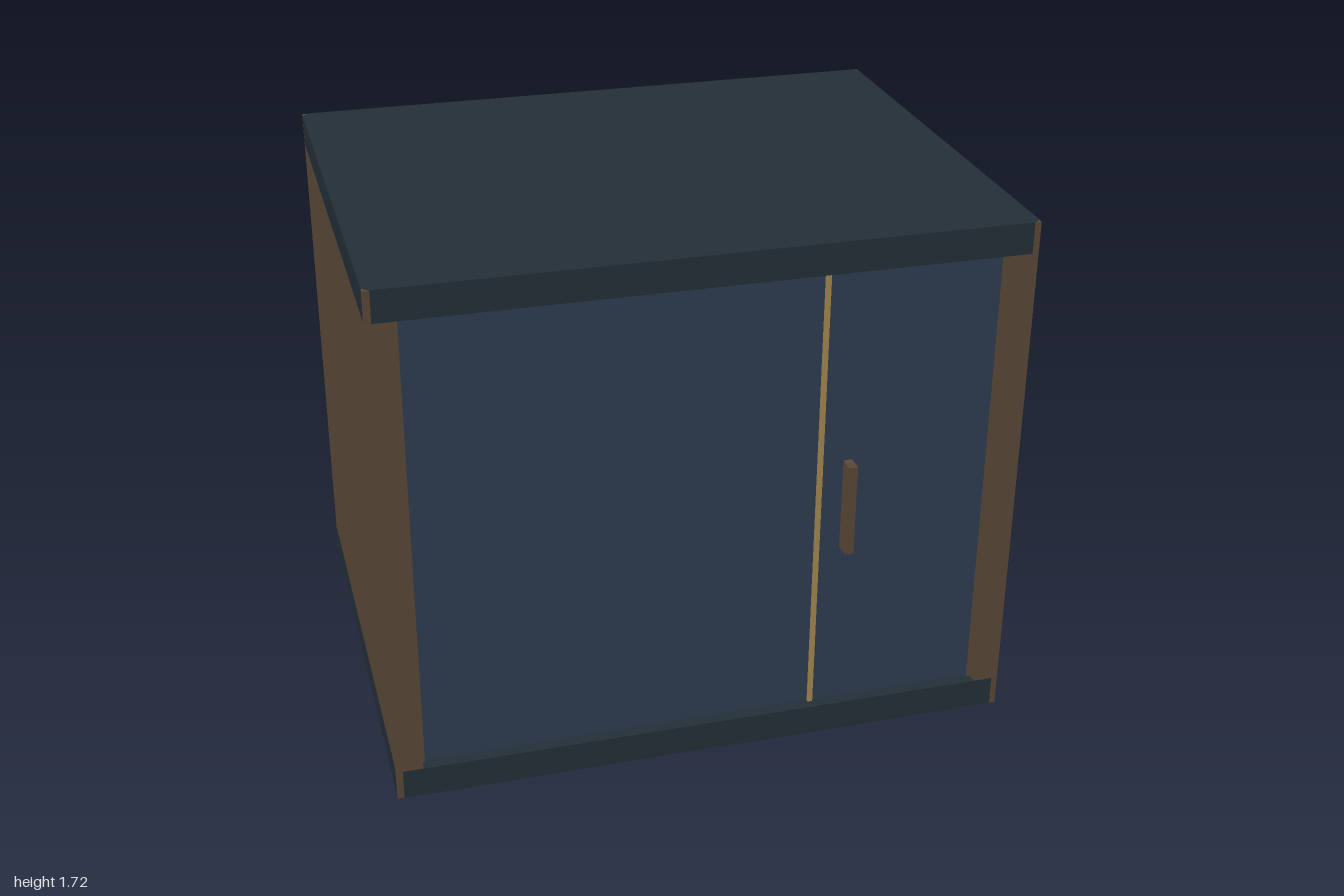
import * as THREE from 'three';

export function createModel() {
  const group = new THREE.Group();
  group.name = 'cabinet';

  const mat = (name, color) => {
    const m = new THREE.MeshStandardMaterial({ color });
    m.name = name;
    return m;
  };
  const brown = mat('brown wood', 0x5a4937);
  const slate = mat('dark slate', 0x242f38);
  const blue = mat('navy blue', 0x2e3c50);
  const gold = mat('gold trim', 0xa5884f);

  // Box given by its minimum and maximum corners
  const box = (name, material, [x0, y0, z0], [x1, y1, z1]) => {
    const mesh = new THREE.Mesh(new THREE.BoxGeometry(x1 - x0, y1 - y0, z1 - z0), material);
    mesh.position.set((x0 + x1) / 2, (y0 + y1) / 2, (z0 + z1) / 2);
    mesh.name = name;
    group.add(mesh);
  };

  const H = 1.715, T = 0.1, W = 0.915, BACK = -0.785, FRONT = 0.772, DOOR = 0.732;

  // Side panels, a hair inside the slabs
  box('leftSide', brown, [W, 0.001, BACK + 0.001], [0.999, H - 0.001, FRONT - 0.001]);
  box('rightSide', brown, [-0.999, 0.001, BACK + 0.001], [-W, H - 0.001, FRONT - 0.001]);

  // Top and bottom slabs with clipped vertical corners
  const c = 0.022;
  const outline = new THREE.Shape([
    [1 - c, BACK], [1, BACK + c], [1, FRONT - c], [1 - c, FRONT],
    [c - 1, FRONT], [-1, FRONT - c], [-1, BACK + c], [c - 1, BACK],
  ].map(([x, z]) => new THREE.Vector2(x, -z)));
  const slabGeometry = new THREE.ExtrudeGeometry(outline, { depth: T, bevelEnabled: false });
  slabGeometry.rotateX(-Math.PI / 2);
  for (const [name, y] of [['bottomSlab', 0], ['topSlab', H - T]]) {
    const slab = new THREE.Mesh(slabGeometry, slate);
    slab.position.y = y;
    slab.name = name;
    group.add(slab);
  }

  // Back panel and the two recessed doors
  box('backPanel', blue, [-W, T, BACK + 0.006], [W, H - T, BACK + 0.05]);
  box('wideDoor', blue, [-W, T, DOOR - 0.05], [0.355, H - T, DOOR]);
  box('narrowDoor', blue, [0.355, T, DOOR - 0.05], [W, H - T, DOOR]);

  // Inner lips beside the doors
  for (const s of [-1, 1]) {
    const x = s * (W - 0.005);
    box('doorLip', brown, [x - 0.005, T, DOOR - 0.02], [x + 0.005, H - T, DOOR + 0.008]);
  }

  // Gold seam and door handle
  box('seamTrim', gold, [0.347, T, DOOR - 0.01], [0.363, H - T, DOOR + 0.01]);
  box('handle', brown, [0.432, 0.67, DOOR], [0.46, 0.975, 0.785]);

  return group;
}
